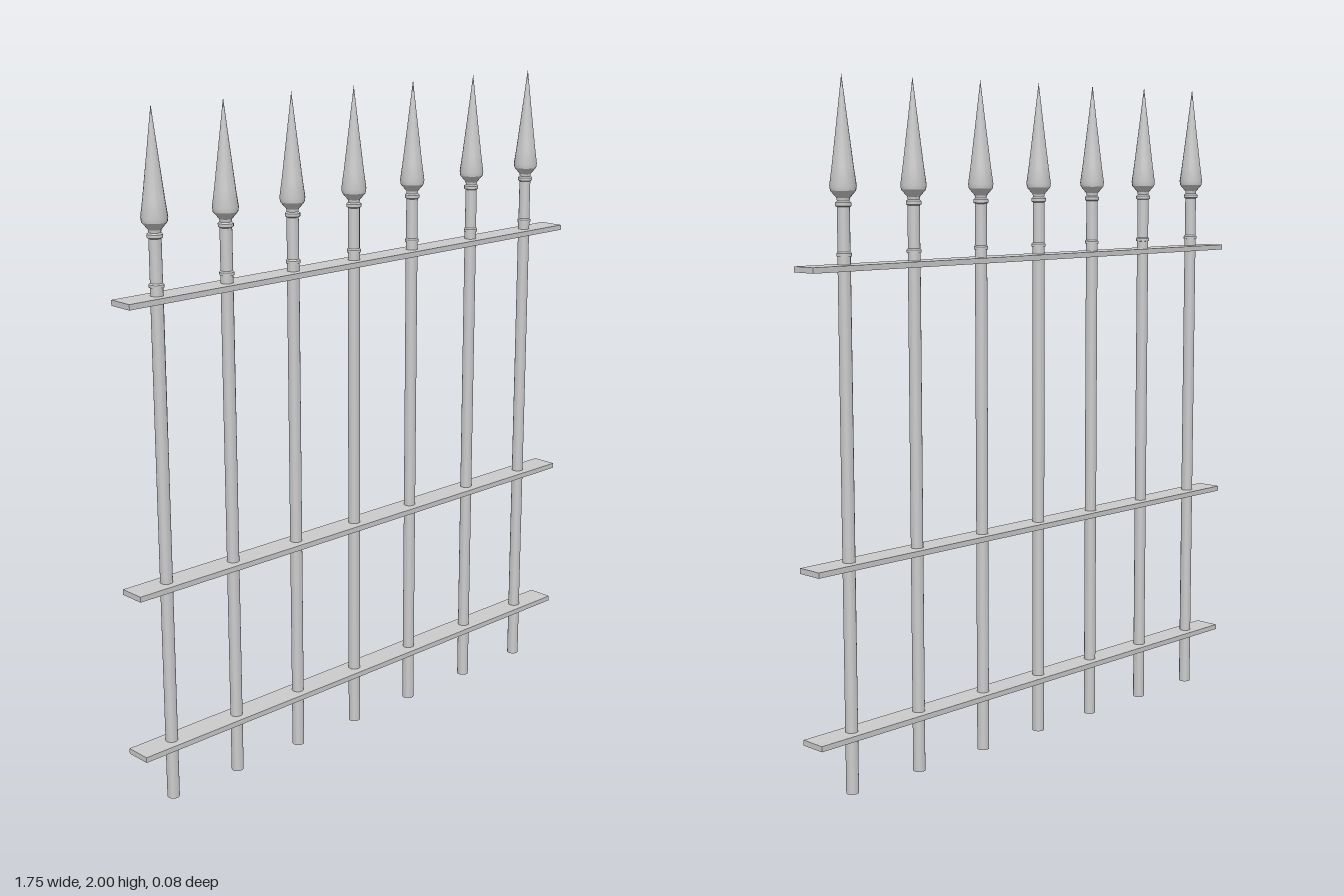
import * as THREE from 'three';
import { toCreasedNormals } from 'three/addons/utils/BufferGeometryUtils.js';

const material = new THREE.MeshStandardMaterial({ color: 0xcccccc });

// Turned part from [radius, height] pairs, listed bottom to top
function turned(name, profile) {
  const points = profile.map(([r, y]) => new THREE.Vector2(r, y));
  const geometry = toCreasedNormals(new THREE.LatheGeometry(points, 20), 0.5);
  const mesh = new THREE.Mesh(geometry, material);
  mesh.name = name;
  return mesh;
}

export function createModel() {
  const fence = new THREE.Group();
  fence.name = 'fence';

  // Flat horizontal rails
  for (const y of [0.172, 0.66, 1.483]) {
    const rail = new THREE.Mesh(new THREE.BoxGeometry(1.75, 0.016, 0.08), material);
    rail.name = 'rail';
    rail.position.y = y;
    fence.add(rail);
  }

  // One picket: round bar, ringed neck and spear head
  const picket = new THREE.Group();
  picket.name = 'picket';
  picket.add(
    turned('bar', [[0, 0], [0.018, 0], [0.018, 1.515], [0, 1.515]]),
    turned('neck', [
      [0, 1.512], [0.021, 1.514], [0.021, 1.522], [0.0175, 1.526],
      [0.0175, 1.646], [0.022, 1.649], [0.022, 1.658], [0.017, 1.662], [0, 1.662],
    ]),
    turned('spearHead', [
      [0, 1.655], [0.016, 1.655], [0.018, 1.67], [0.035, 1.69],
      [0.037, 1.703], [0.03, 1.752], [0.015, 1.875], [0, 2],
    ]),
  );

  // Slightly uneven spacing along the rails
  for (const x of [-0.754, -0.511, -0.266, -0.026, 0.217, 0.48, 0.735]) {
    const copy = picket.clone();
    copy.position.x = x;
    fence.add(copy);
  }
  return fence;
}
